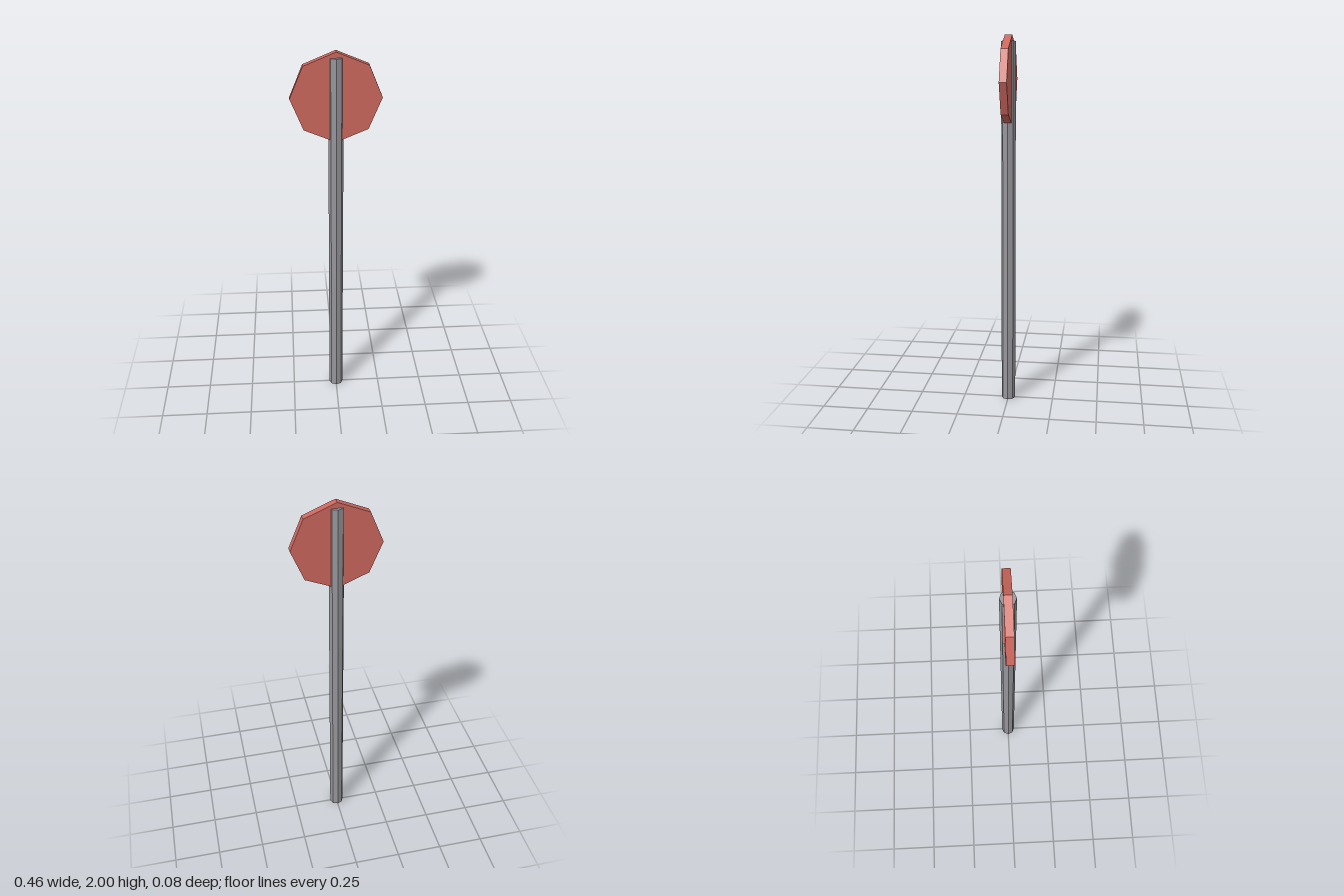
import * as THREE from 'three';

export function createModel() {
  const model = new THREE.Group();
  const paint = (name, color) => {
    const m = new THREE.MeshStandardMaterial({ color, flatShading: true });
    m.name = name;
    return m;
  };
  const red = paint('sign red', 0xcc675e);
  const grey = paint('pole grey', 0x97969b);

  const add = (name, geometry, material, y) => {
    const mesh = new THREE.Mesh(geometry, material);
    mesh.name = name;
    mesh.position.y = y;
    model.add(mesh);
  };

  // Eight-sided pole with a corner facing forward
  const poleHeight = 1.97;
  add('pole', new THREE.CylinderGeometry(0.0384, 0.0384, poleHeight, 8), grey, poleHeight / 2);

  // Octagonal plate standing on a corner, threaded by the pole
  const radius = 0.23;
  const plate = new THREE.CylinderGeometry(radius, radius, 0.039, 8);
  plate.rotateX(Math.PI / 2);
  add('signPlate', plate, red, 2 - radius);

  return model;
}
